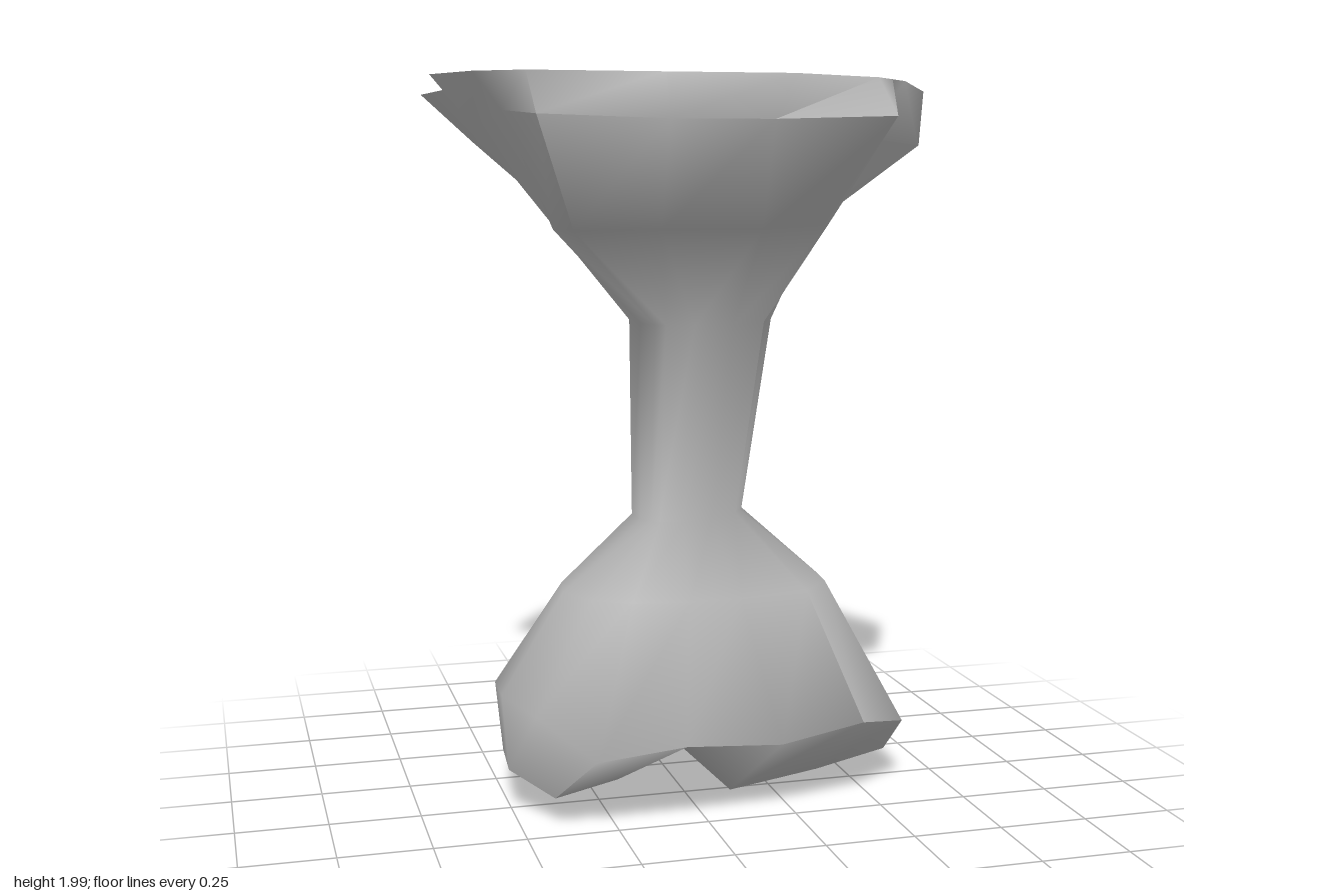
import * as THREE from 'three';
import { toCreasedNormals } from 'three/addons/utils/BufferGeometryUtils.js';

// Every ring has 14 columns, running front -> left (+x) -> back -> right (-x).
const flat = (y, pts) => pts.map(([x, z]) => [x, y, z]);

const seat = flat(2, [
  [0.12, 0.57], [0.41, 0.38], [0.49, 0.27], [0.57, 0.16], [0.71, -0.05], [0.51, -0.62], [-0.12, -0.62],
  [-0.51, -0.59], [-0.66, -0.38], [-0.52, -0.18], [-0.72, 0.26], [-0.65, 0.48], [-0.54, 0.58], [-0.2, 0.57]]);
seat[4][1] = 1.98;
seat[5][1] = 1.95; // dipped back corners
seat[8][1] = 1.97;

const rim = [
  [0.06, 1.89, 0.61], [0.4, 1.9, 0.54], [0.41, 1.85, 0.27], [0.62, 1.83, 0.14], [0.6, 1.79, -0.15],
  [0.57, 1.77, -0.47], [-0.1, 1.78, -0.52], [-0.43, 1.84, -0.5], [-0.52, 1.84, -0.36], [-0.48, 1.84, -0.16],
  [-0.61, 1.87, 0.26], [-0.58, 1.91, 0.48], [-0.52, 1.9, 0.6], [-0.2, 1.89, 0.61]];

const flare = flat(1.62, [
  [0.1, 0.39], [0.31, 0.28], [0.26, 0.13], [0.36, 0.04], [0.4, -0.1], [0.36, -0.31], [-0.04, -0.33],
  [-0.22, -0.29], [-0.29, -0.2], [-0.3, -0.08], [-0.39, 0.15], [-0.42, 0.28], [-0.39, 0.39], [-0.16, 0.37]]);

const knuckles = flat(0.62, [
  [0.1, 0.22], [0.3, 0.18], [0.39, 0.07], [0.4, -0.02], [0.34, -0.1], [0.18, -0.12], [0.02, -0.16],
  [-0.13, -0.22], [-0.27, -0.2], [-0.33, -0.1], [-0.35, 0.02], [-0.3, 0.14], [-0.2, 0.2], [-0.05, 0.23]]);

const lobes = [
  [0.2, 0.22, 0.28], [0.45, 0.25, 0.24], [0.62, 0.2, 0.1], [0.64, 0.18, -0.08], [0.53, 0.33, -0.28],
  [0.27, 0.38, -0.23], [0, 0.4, -0.35], [-0.2, 0.37, -0.37], [-0.42, 0.32, -0.3], [-0.52, 0.34, -0.12],
  [-0.53, 0.35, 0.05], [-0.46, 0.32, 0.18], [-0.32, 0.22, 0.3], [-0.08, 0.25, 0.32]];

const sole = [
  [0.13, 0.01, 0.02], [0.38, 0.06, 0.05], [0.6, 0.09, 0.01], [0.64, 0.09, -0.1], [0.6, 0.1, -0.26],
  [0.25, 0.12, -0.2], [-0.05, 0.25, -0.2], [-0.2, 0.22, -0.33], [-0.38, 0.15, -0.28], [-0.5, 0.14, -0.12],
  [-0.51, 0.13, 0.03], [-0.41, 0.09, 0.18], [-0.25, 0.15, 0.24], [-0.08, 0.23, 0.22]];

// Skewed oval shaft section whose columns line up with the seat outline.
const oval = (y, cx, rx, cz, rz, skew) => seat.map(([x, , z]) => {
  const a = Math.atan2(x, z);
  return [cx + rx * Math.sin(a), y, cz + rz * Math.cos(a + skew)];
});

// Skin between rings listed bottom to top.
function loft(rings) {
  const tris = [];
  for (let r = 0; r < rings.length - 1; r++) {
    const lo = rings[r], hi = rings[r + 1], n = lo.length;
    for (let i = 0; i < n; i++) {
      const j = (i + 1) % n;
      tris.push(lo[i], lo[j], hi[j], lo[i], hi[j], hi[i]);
    }
  }
  return tris;
}

// Triangles from a centre point to a closed loop.
const fan = (centre, loop) => loop.flatMap((p, i) => [centre, p, loop[(i + 1) % loop.length]]);

function makeMesh(name, tris, material, crease) {
  const geo = new THREE.BufferGeometry();
  geo.setAttribute('position', new THREE.Float32BufferAttribute(tris.flat(), 3));
  const mesh = new THREE.Mesh(toCreasedNormals(geo, crease), material);
  mesh.name = name;
  return mesh;
}

export function createModel() {
  const group = new THREE.Group();
  group.name = 'carvedPedestal';
  const grey = new THREE.MeshStandardMaterial({ color: 0xb8b8b8, side: THREE.DoubleSide });
  grey.name = 'stone grey';

  // Waisted body: spread lobes, narrow shaft, flared top, and two feet meeting at a raised ridge
  const shaft = [oval(0.83, 0, 0.165, 0.025, 0.148, 0.3), oval(1.36, 0.04, 0.2, 0.015, 0.19, 0.1)];
  const leftLoop = [sole[13], ...sole.slice(0, 7)].reverse();
  const rightLoop = sole.slice(6).reverse();
  group.add(makeMesh('body', [
    ...loft([sole, lobes, knuckles, ...shaft, flare, rim, seat]),
    ...fan([0.2, 0.02, -0.06], leftLoop),
    ...fan([-0.35, 0.09, 0], rightLoop),
  ], grey, 1.2));

  // Flat top
  group.add(makeMesh('seatTop', fan([0, 2, 0], seat), grey, 0.6));
  return group;
}
